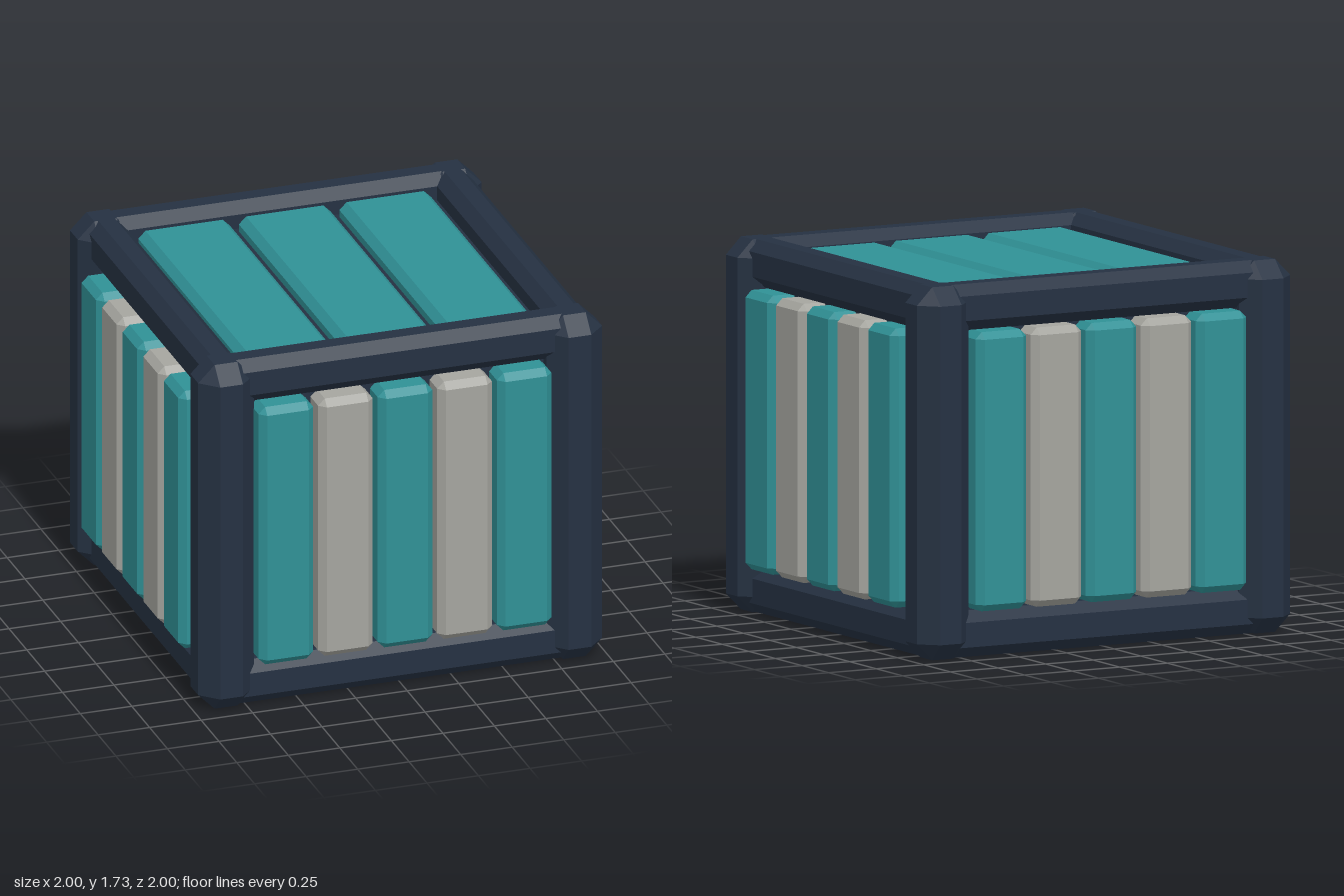
import * as THREE from 'three';
import { ConvexGeometry } from 'three/addons/geometries/ConvexGeometry.js';

// Box with every edge cut by a flat chamfer c
function chamferBox(w, h, d, c) {
  const half = [w / 2, h / 2, d / 2];
  const points = [];
  for (const sx of [-1, 1]) for (const sy of [-1, 1]) for (const sz of [-1, 1]) {
    for (let axis = 0; axis < 3; axis++) {
      const p = half.map((v, i) => (i === axis ? v : v - c));
      points.push(new THREE.Vector3(p[0] * sx, p[1] * sy, p[2] * sz));
    }
  }
  return new ConvexGeometry(points);
}

function createModel() {
  const navy = new THREE.MeshStandardMaterial({ color: 0x253142, flatShading: true });
  const teal = new THREE.MeshStandardMaterial({ color: 0x309196, flatShading: true });
  const grey = new THREE.MeshStandardMaterial({ color: 0xa5a59f, flatShading: true });
  navy.name = 'navy frame';
  teal.name = 'teal plank';
  grey.name = 'grey plank';

  const crate = new THREE.Group();
  crate.name = 'crate';
  const H = 1.73;

  function add(parent, name, geometry, material, x, y, z) {
    const mesh = new THREE.Mesh(geometry, material);
    mesh.name = name;
    mesh.position.set(x, y, z);
    parent.add(mesh);
    return mesh;
  }

  // Dark inner body behind the planks
  add(crate, 'innerBody', new THREE.BoxGeometry(1.72, 1.57, 1.72), navy, 0, 0.825, 0);

  // Corner posts
  const postGeometry = chamferBox(0.27, H, 0.27, 0.08);
  for (const x of [-0.845, 0.845]) for (const z of [-0.845, 0.845]) {
    add(crate, 'cornerPost', postGeometry, navy, x, H / 2, z);
  }

  // Four identical sides: two rails and five planks each
  const railGeometry = chamferBox(1.72, 0.215, 0.18, 0.05);
  const plankGeometry = chamferBox(0.265, 1.295, 0.2, 0.032);
  const sides = ['front', 'left', 'back', 'right'];
  sides.forEach((name, i) => {
    const side = new THREE.Group();
    side.name = name + 'Side';
    side.rotation.y = i * Math.PI / 2;
    add(side, 'bottomRail', railGeometry, navy, 0, 0.1075, 0.84);
    add(side, 'topRail', railGeometry, navy, 0, H - 0.1075, 0.84);
    for (let k = -2; k <= 2; k++) {
      add(side, 'sidePlank', plankGeometry, k % 2 === 0 ? teal : grey, k * 0.289, 0.8675, 0.9);
    }
    crate.add(side);
  });

  // Lid planks
  const lidGeometry = chamferBox(0.445, 0.18, 1.51, 0.035);
  for (let k = -1; k <= 1; k++) {
    add(crate, 'lidPlank', lidGeometry, teal, k * 0.488, 1.59, 0);
  }

  return crate;
}

export { createModel };
